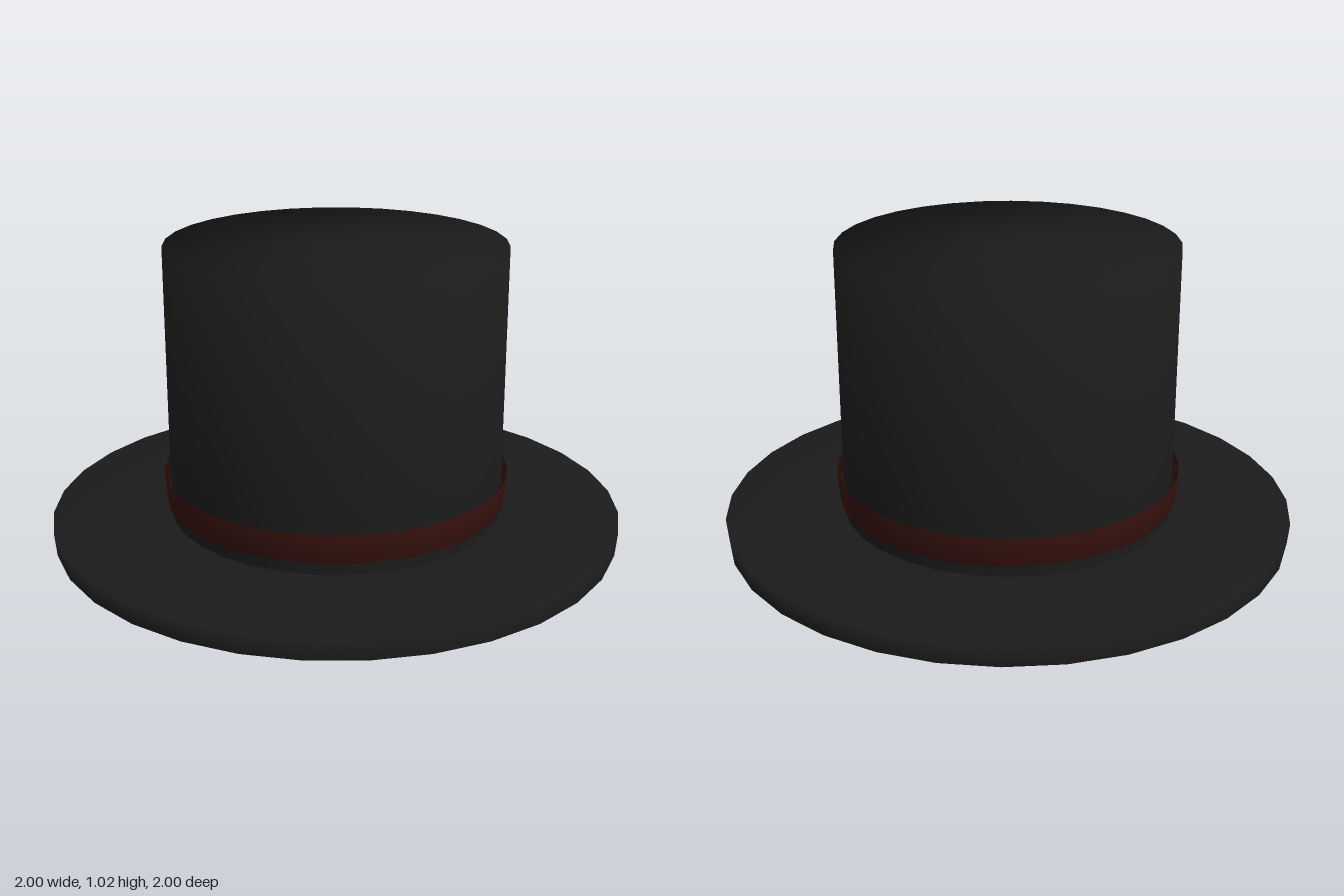
import * as THREE from 'three';

const SIDES = 32;

// Thin shell turned from a profile of [radius, height] points, running bottom to top
function shell(name, profile, color) {
  const points = profile.map(([r, y]) => new THREE.Vector2(r, y));
  const material = new THREE.MeshStandardMaterial({ color, side: THREE.DoubleSide });
  const mesh = new THREE.Mesh(new THREE.LatheGeometry(points, SIDES), material);
  mesh.name = name;
  return mesh;
}

export function createModel() {
  const group = new THREE.Group();
  group.name = 'topHat';
  const black = 0x1b1b1b;
  const red = 0x33100c;

  // Brim, open underneath, with the short collar below the band
  group.add(shell('brim', [[0.993, 0], [1, 0.075], [0.585, 0.075]], black));
  group.add(shell('collar', [[0.585, 0.075], [0.585, 0.12]], black));

  // Flared ribbon that tucks back in behind its upper edge
  group.add(shell('band', [[0.585, 0.12], [0.598, 0.12], [0.606, 0.222], [0.585, 0.18]], red));

  // Hollow crown with a flat top
  group.add(shell('crown', [[0.585, 0.18], [0.585, 1.025], [0, 1.025]], black));

  return group;
}
